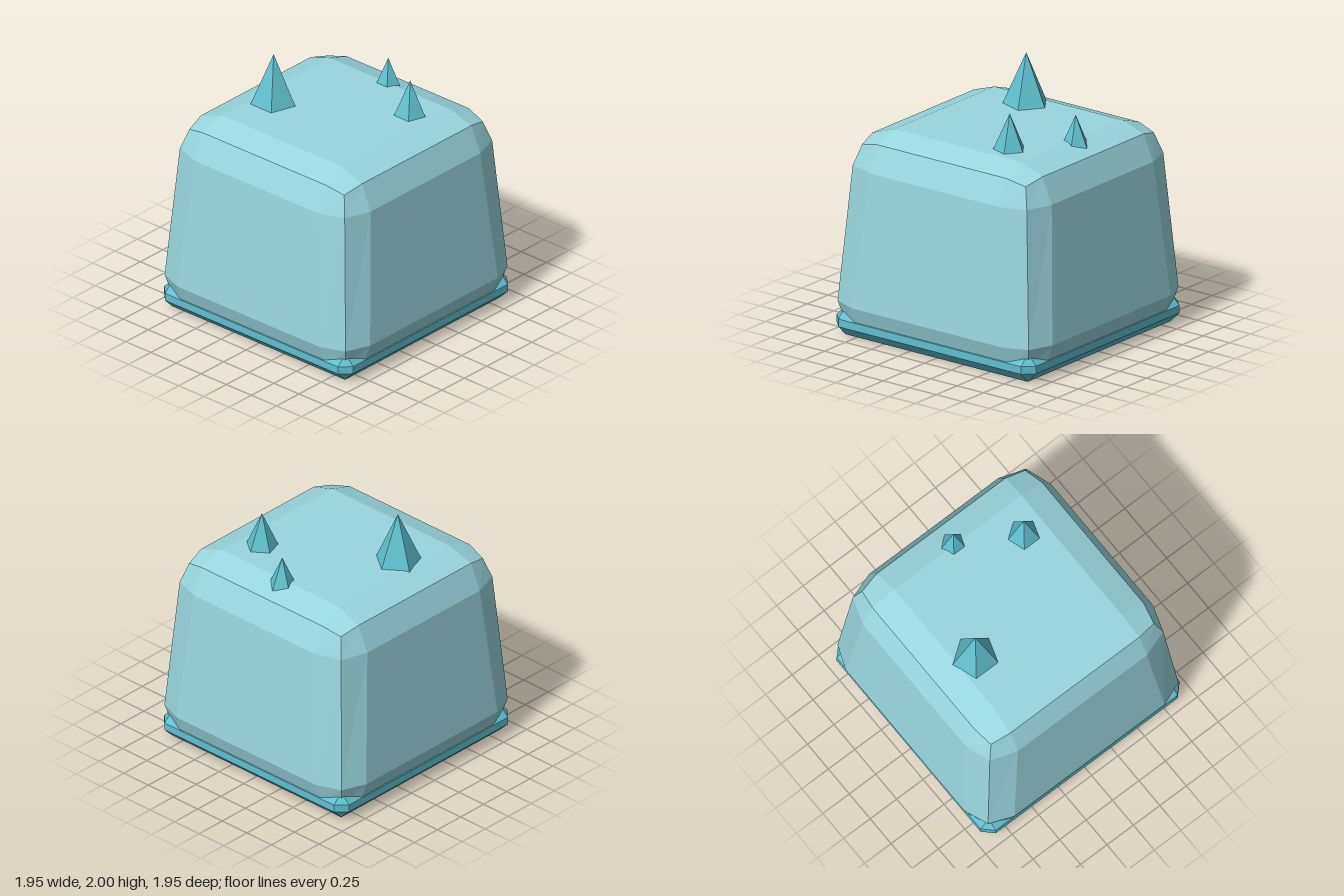
import * as THREE from 'three';
import { ConvexGeometry } from 'three/addons/geometries/ConvexGeometry.js';

const paleIce = new THREE.MeshStandardMaterial({ color: 0x98d6dd, flatShading: true });
const deepIce = new THREE.MeshStandardMaterial({ color: 0x60c0ce, flatShading: true });

function addMesh(group, name, geometry, material) {
  const mesh = new THREE.Mesh(geometry, material);
  mesh.name = name;
  group.add(mesh);
  return mesh;
}

// Rounded, tapering block: a 3 x 3 x 3 grid box whose rows are pulled inwards.
// Each row from the bottom up: corner [reach, y], edge [inner, outer, y], cap [inner, y]
function bodyGeometry() {
  const rows = [
    { corner: [0.86, 0.11], edge: [0.72, 0.91, 0.07], cap: [0.72, 0] },
    { corner: [0.9, 0.27], edge: [0.71, 0.975, 0.27] },
    { corner: [0.82, 1.33], edge: [0.61, 0.89, 1.33] },
    { corner: [0.77, 1.49], edge: [0.61, 0.8, 1.53], cap: [0.6, 1.6] },
  ];
  const geometry = new THREE.BoxGeometry(3, 3, 3, 3, 3, 3);
  const p = geometry.attributes.position;
  for (let i = 0; i < p.count; i++) {
    const x = p.getX(i), z = p.getZ(i);
    const row = rows[Math.round(p.getY(i) + 1.5)];
    const outX = Math.abs(x) > 1, outZ = Math.abs(z) > 1;
    let ax, az, y;
    if (outX && outZ) {
      [ax, y] = row.corner;
      az = ax;
    } else if (outX || outZ) {
      const [inner, outer, height] = row.edge;
      ax = outX ? outer : inner;
      az = outZ ? outer : inner;
      y = height;
    } else {
      [ax, y] = row.cap;
      az = ax;
    }
    p.setXYZ(i, Math.sign(x) * ax, y, Math.sign(z) * az);
  }
  geometry.computeVertexNormals();
  return geometry;
}

// Box with every edge and corner cut off by the same bevel
function chamferBox(halfWidth, halfHeight, bevel) {
  const points = [];
  const w = halfWidth - bevel, h = halfHeight - bevel;
  for (const sx of [-1, 1]) for (const sy of [-1, 1]) for (const sz of [-1, 1]) {
    points.push(
      new THREE.Vector3(sx * halfWidth, sy * h, sz * w),
      new THREE.Vector3(sx * w, sy * halfHeight, sz * w),
      new THREE.Vector3(sx * w, sy * h, sz * halfWidth),
    );
  }
  return new ConvexGeometry(points);
}

export function createModel() {
  const group = new THREE.Group();
  group.name = 'spikedBlock';

  addMesh(group, 'body', bodyGeometry(), paleIce);

  // Base slab, a hair above the body's underside
  const base = addMesh(group, 'base', chamferBox(0.94, 0.11, 0.08), deepIce);
  base.position.y = 0.112;

  // Five-sided spikes sunk into the top: [name, x, tip height, z]
  const root = 1.55;
  for (const [name, x, tip, z] of [
    ['largeSpike', -0.455, 2, 0.185],
    ['mediumSpike', 0.425, 1.88, -0.35],
    ['smallSpike', -0.03, 1.8, -0.615],
  ]) {
    const height = tip - root;
    const spike = addMesh(group, name, new THREE.ConeGeometry(height * 0.44, height, 5), deepIce);
    spike.position.set(x, root + height / 2, z);
    spike.rotation.y = Math.PI;
  }

  return group;
}
